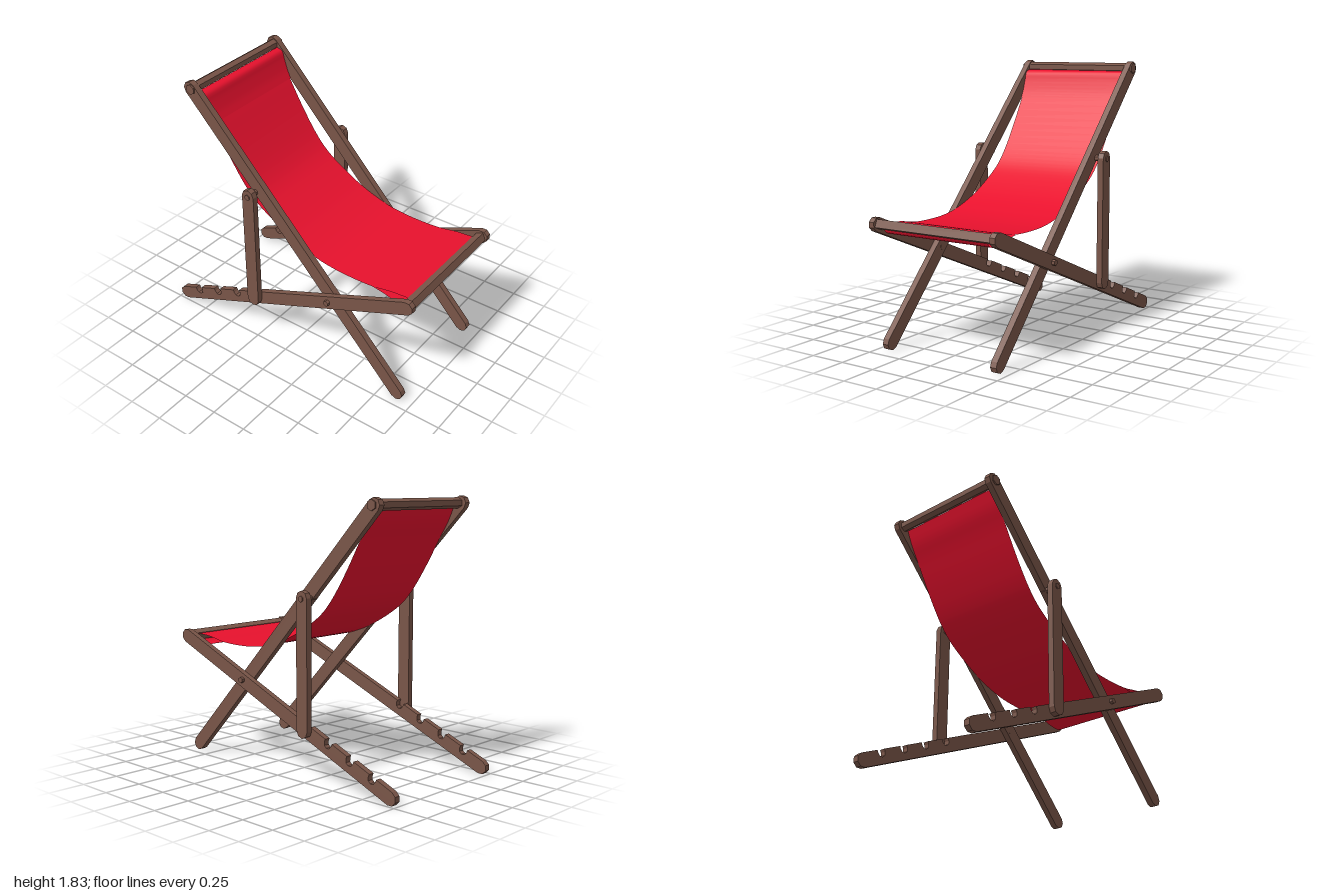
import * as THREE from 'three';

const wood = new THREE.MeshStandardMaterial({ color: 0x795548, flatShading: true });
const cloth = new THREE.MeshStandardMaterial({ color: 0xe8112d, side: THREE.DoubleSide });
const R = 0.047; // half width of every slat

// Flat slat with rounded ends running from a to b, optionally notched along its upper edge
function slat(name, a, b, z, depth, notches = []) {
  const dx = b[0] - a[0], dy = b[1] - a[1], len = Math.hypot(dx, dy);
  const s = new THREE.Shape();
  s.moveTo(0, -R);
  s.lineTo(len, -R);
  s.absarc(len, 0, R, -Math.PI / 2, Math.PI / 2, false);
  for (const n of [...notches].reverse()) {
    const r = 0.03;
    s.lineTo(n + r, R);
    s.absarc(n, 0.027, r, 0, -Math.PI, true);
    s.lineTo(n - r, R);
  }
  s.lineTo(0, R);
  s.absarc(0, 0, R, Math.PI / 2, Math.PI * 1.5, false);
  const geo = new THREE.ExtrudeGeometry(s, { depth, bevelEnabled: false, curveSegments: 2 });
  geo.translate(0, 0, -depth / 2);
  const mesh = new THREE.Mesh(geo, wood);
  mesh.name = name;
  mesh.position.set(a[0], a[1], z);
  mesh.rotation.z = Math.atan2(dy, dx);
  return mesh;
}

// Round bar or pin along z
function rod(name, x, y, z, radius, length, sides) {
  const geo = new THREE.CylinderGeometry(radius, radius, length, sides).rotateX(Math.PI / 2);
  const mesh = new THREE.Mesh(geo, wood);
  mesh.name = name;
  mesh.position.set(x, y, z);
  return mesh;
}

// Cloth strip following a profile in the xy plane
function strip(name, profile, segments) {
  const curve = new THREE.CatmullRomCurve3(profile.map(([x, y]) => new THREE.Vector3(x, y, 0)));
  const geo = new THREE.PlaneGeometry(0.8, 1, 1, segments);
  const pos = geo.attributes.position;
  for (let i = 0; i < pos.count; i++) {
    const p = curve.getPoint(0.5 - pos.getY(i));
    pos.setXYZ(i, p.x, p.y, -pos.getX(i));
  }
  geo.computeVertexNormals();
  const mesh = new THREE.Mesh(geo, cloth);
  mesh.name = name;
  return mesh;
}

export function createModel() {
  const chair = new THREE.Group();
  chair.name = 'deckChair';

  // Side frames, mirrored
  for (const side of [1, -1]) {
    const frame = new THREE.Group();
    frame.name = side > 0 ? 'frontSideFrame' : 'backSideFrame';
    frame.add(
      slat('backRail', [-0.778, 1.79], [0.885, 0.053], side * 0.423, 0.044),
      slat('seatRail', [-0.953, 0.052], [0.95, 0.838], side * 0.464, 0.04, [0.165, 0.365, 0.565, 0.765]),
      slat('prop', [-0.255, 0.35], [-0.255, 1.205], side * 0.506, 0.042),
      rod('propPin', -0.255, 1.2, side * 0.468, 0.02, 0.134, 6),
      rod('pivotPin', 0.355, 0.597, side * 0.453, 0.02, 0.106, 6),
    );
    chair.add(frame);
  }

  // Cross bars holding the cloth
  chair.add(rod('topBar', -0.765, 1.79, 0, 0.036, 0.91, 6));
  const seatBar = new THREE.Mesh(new THREE.BoxGeometry(0.055, 0.055, 0.89), wood);
  seatBar.name = 'seatBar';
  seatBar.position.set(0.947, 0.838, 0);
  seatBar.rotation.z = Math.atan2(0.786, 1.903);
  chair.add(seatBar);

  // Sling with a folded hem at each end
  const sling = new THREE.Group();
  sling.name = 'sling';
  sling.add(
    strip('slingSheet', [
      [-0.735, 1.77], [-0.69, 1.67], [-0.63, 1.57], [-0.52, 1.38], [-0.4, 1.2], [-0.31, 1.1],
      [-0.2, 1.02], [0, 0.91], [0.2, 0.84], [0.33, 0.817], [0.48, 0.809], [0.65, 0.815],
      [0.78, 0.838], [0.87, 0.846], [0.93, 0.85],
    ], 56),
    strip('topHem', [[-0.735, 1.77], [-0.69, 1.755], [-0.672, 1.7], [-0.645, 1.62], [-0.62, 1.565]], 12),
    strip('seatHem', [[0.93, 0.85], [0.945, 0.805], [0.9, 0.775], [0.82, 0.778], [0.73, 0.8], [0.65, 0.813]], 14),
  );
  chair.add(sling);
  return chair;
}
